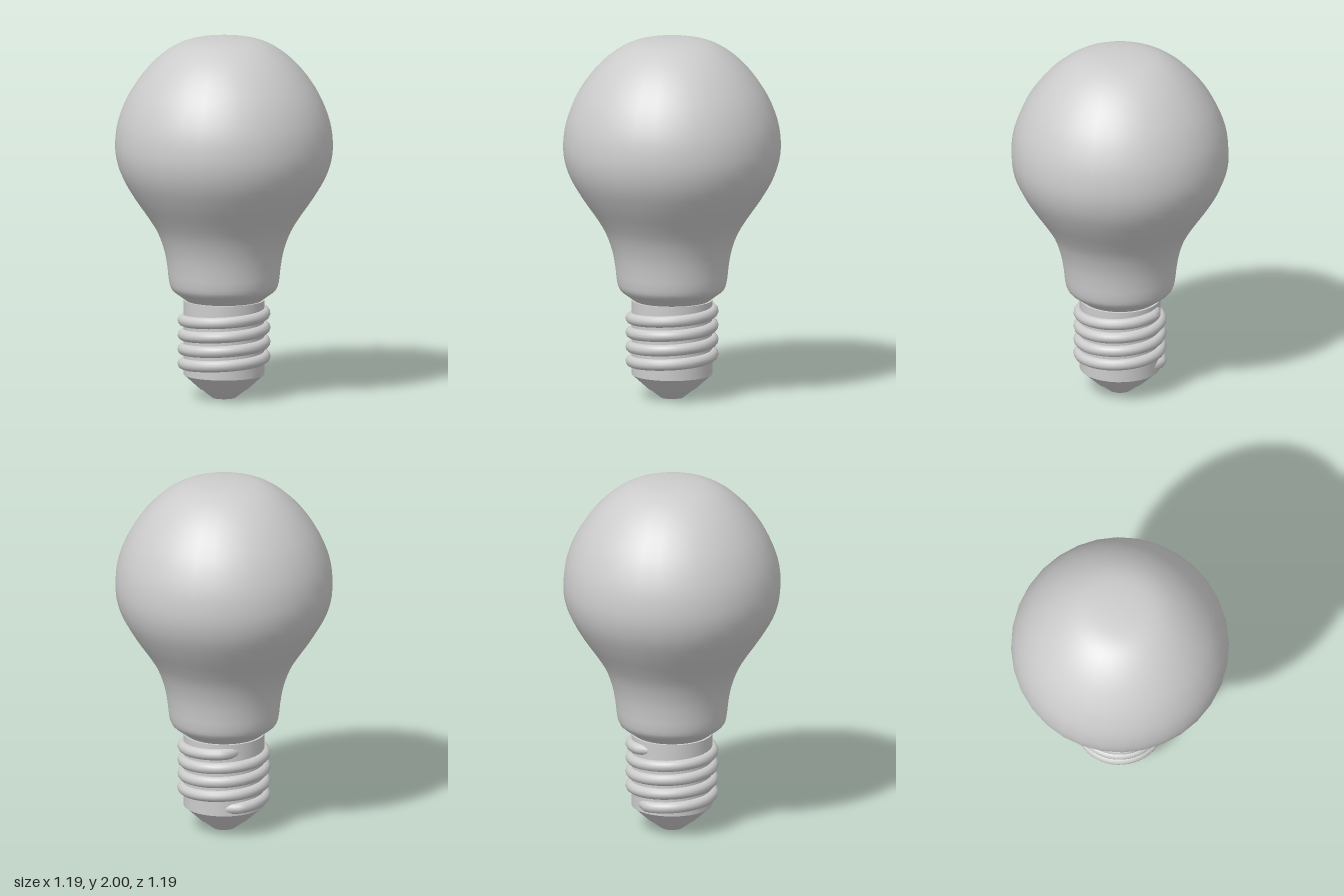
import * as THREE from 'three';

const SIDES = 32;

// Right-handed screw thread; both ends sink into the core
class ThreadCurve extends THREE.Curve {
  getPoint(u, target = new THREE.Vector3()) {
    const start = -1.03 * Math.PI, end = 7.1 * Math.PI, fade = 0.4;
    const t = start + (end - start) * u;
    const edge = Math.min(t - start, end - t);
    const r = 0.223 - 0.04 * Math.max(0, 1 - edge / fade);
    return target.set(r * Math.sin(t), 0.21 + 0.08 * t / (2 * Math.PI), r * Math.cos(t));
  }
}

export function createModel() {
  const group = new THREE.Group();
  const grey = new THREE.MeshStandardMaterial({ color: 0xcccccc });
  grey.name = 'light grey';

  const add = (name, geometry, y = 0) => {
    const mesh = new THREE.Mesh(geometry, grey);
    mesh.name = name;
    mesh.position.y = y;
    group.add(mesh);
  };
  const ring = (name, rTop, rBottom, y0, y1, open = true) =>
    add(name, new THREE.CylinderGeometry(rTop, rBottom, y1 - y0, SIDES, 1, open), (y0 + y1) / 2);

  // Glass envelope: smooth profile from neck to crown
  const profile = new THREE.SplineCurve([
    [0.205, 0.54], [0.245, 0.57], [0.288, 0.605], [0.303, 0.66], [0.311, 0.73],
    [0.328, 0.82], [0.365, 0.92], [0.42, 1.01], [0.49, 1.11], [0.555, 1.22],
    [0.589, 1.32], [0.597, 1.42], [0.58, 1.54], [0.53, 1.67], [0.46, 1.78],
    [0.38, 1.87], [0.29, 1.94], [0.2, 1.98], [0.1, 1.996], [0, 2],
  ].map(([x, y]) => new THREE.Vector2(x, y)));
  const points = profile.getPoints(57);
  points.forEach((p) => { p.x = Math.max(p.x, 0); p.y = Math.min(p.y, 2); });
  add('glassBulb', new THREE.LatheGeometry(points, SIDES));

  // Screw base
  ring('screwCore', 0.222, 0.222, 0.13, 0.542, false);
  add('screwThread', new THREE.TubeGeometry(new ThreadCurve(), 200, 0.032, 12, false));

  // Tapered insulator and contact tip
  ring('insulator', 0.22, 0.132, 0.05, 0.13, false);
  ring('contactTip', 0.127, 0.063, 0, 0.05, false);

  return group;
}
